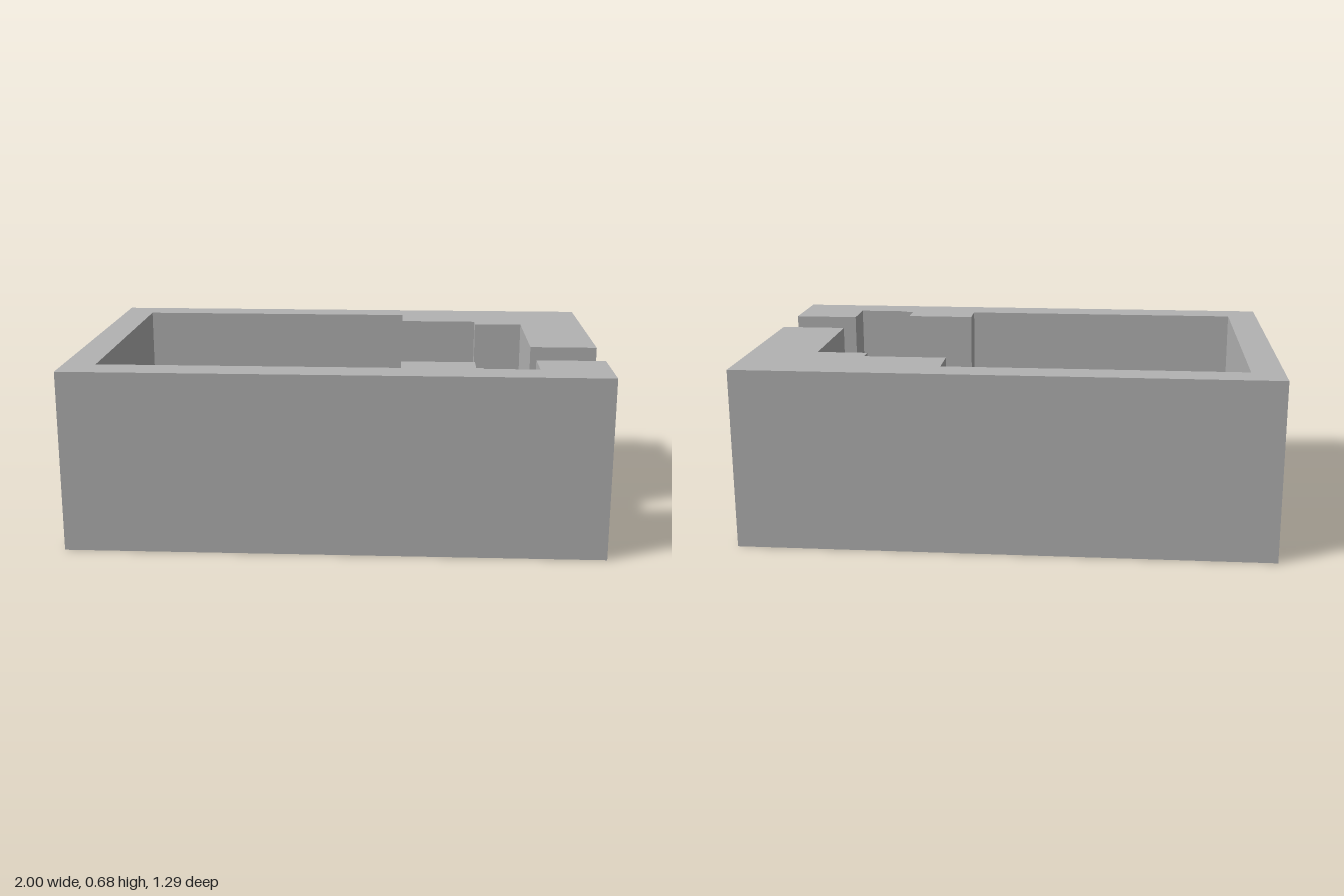
import * as THREE from 'three';

const HEIGHT = 0.68, FLOOR = 0.31, HALF_DEPTH = 0.645;

// Extrude a plan outline given as [x, z] points from y0 up to y1
function slab(name, outline, holes, y0, y1, material) {
  const toPlan = (points) => points.map(([x, z]) => new THREE.Vector2(x, -z));
  const shape = new THREE.Shape(toPlan(outline));
  for (const hole of holes) shape.holes.push(new THREE.Path(toPlan(hole)));
  const geometry = new THREE.ExtrudeGeometry(shape, { depth: y1 - y0, bevelEnabled: false });
  geometry.rotateX(-Math.PI / 2).translate(0, y0, 0);
  const mesh = new THREE.Mesh(geometry, material);
  mesh.name = name;
  return mesh;
}

const rect = (x0, x1, z0, z1) => [[x0, z0], [x1, z0], [x1, z1], [x0, z1]];

export function createModel() {
  const grey = new THREE.MeshStandardMaterial({ color: 0xb2b2b2 });
  grey.name = 'grey';

  const group = new THREE.Group();
  group.name = 'openEnclosure';

  // Thick base with two square through-holes
  const holes = [-0.62, -0.262].map((x) => rect(x, x + 0.203, -0.19, 0.013));
  group.add(slab('base', rect(-1, 1, -HALF_DEPTH, HALF_DEPTH), holes, 0, FLOOR, grey));

  // Walls with stepped inner blocks, open at the slot on the +x side
  const walls = [
    [1, 0.13], [1, -HALF_DEPTH], [-1, -HALF_DEPTH], [-1, HALF_DEPTH], [1, HALF_DEPTH], [1, 0.365],
    // front inner side
    [0.743, 0.365], [0.743, 0.518], [0.54, 0.518], [0.54, 0.508], [0.513, 0.508],
    [0.513, 0.41], [0.24, 0.41], [0.24, 0.518], [-0.88, 0.518],
    // back inner side
    [-0.88, -0.526], [0.24, -0.526], [0.24, -0.385], [0.55, -0.385],
    [0.55, -0.328], [0.743, -0.328], [0.743, 0.13],
  ];
  group.add(slab('walls', walls, [], FLOOR, HEIGHT, grey));

  return group;
}
